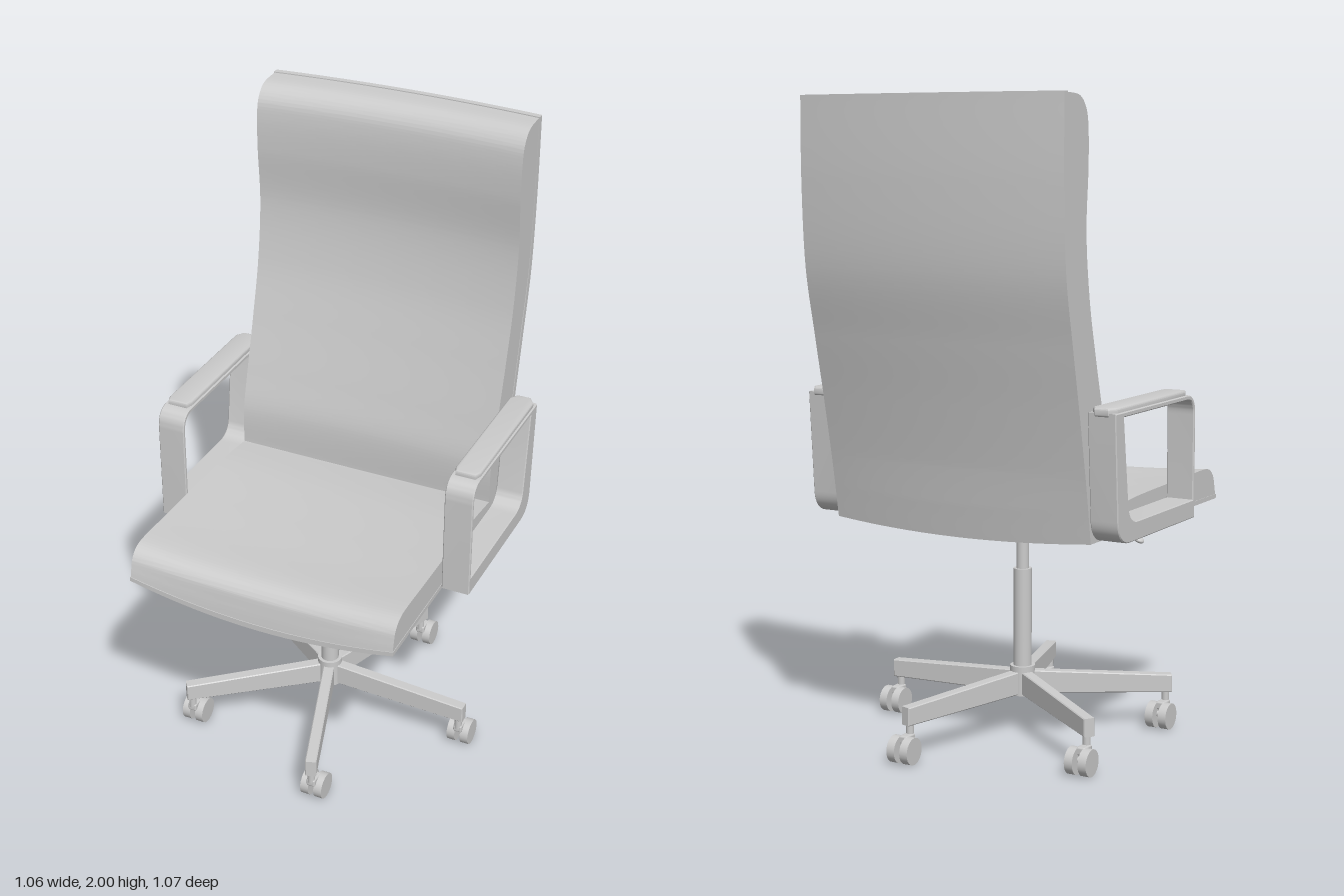
import * as THREE from 'three';
import { toCreasedNormals } from 'three/addons/utils/BufferGeometryUtils.js';
import { RoundedBoxGeometry } from 'three/addons/geometries/RoundedBoxGeometry.js';

const grey = new THREE.MeshStandardMaterial({ color: 0xcccccc, side: THREE.DoubleSide });
const HALF = 0.44;
const COLUMN_Z = 0.033;
const { clamp, smoothstep, lerp } = THREE.MathUtils;

function add(parent, name, geometry, x = 0, y = 0, z = 0) {
  const mesh = new THREE.Mesh(geometry, grey);
  mesh.name = name;
  mesh.position.set(x, y, z);
  parent.add(mesh);
  return mesh;
}

const cylinder = (rTop, rBottom, h, n = 24) => new THREE.CylinderGeometry(rTop, rBottom, h, n);

// Side profile made of smooth runs of [z, y] points, with a corner between runs
function sideShape(runs) {
  const shape = new THREE.Shape();
  const pt = ([z, y]) => new THREE.Vector2(-z, y);
  shape.moveTo(-runs[0][0][0], runs[0][0][1]);
  runs.forEach((run, i) => {
    if (i) shape.lineTo(-run[0][0], run[0][1]);
    if (run.length > 1) shape.splineThru(run.slice(1).map(pt));
  });
  return shape;
}

// Extrude a side profile across the chair and bow it: back bulges rearward, seat sags
function bowedSlab(runs, half) {
  let g = new THREE.ExtrudeGeometry(sideShape(runs), {
    depth: 2 * half, steps: 20, bevelEnabled: false, curveSegments: 24,
  });
  g.translate(0, 0, -half).rotateY(Math.PI / 2);
  const p = g.attributes.position;
  for (let i = 0; i < p.count; i++) {
    const x = p.getX(i), y = p.getY(i), z = p.getZ(i);
    const t = 1 - (x / HALF) ** 2;
    const under = lerp(0.018, 0.05, smoothstep(z, 0.15, 0.535));
    const sag = lerp(under, 0.017, clamp((y - 0.72) / 0.06, 0, 1)) * clamp((0.92 - y) / 0.1, 0, 1);
    p.setY(i, y - sag * t);
    p.setZ(i, z - 0.022 * t * clamp(-z / 0.2, 0, 1));
  }
  return toCreasedNormals(g, 0.6);
}

// Armrest: flat closed loop with a thin front strap and a padded top
function armrest() {
  const arm = new THREE.Group();
  const loop = new THREE.Shape();
  loop.moveTo(-0.17, 0.72);
  loop.lineTo(-0.17, 1.04);
  loop.quadraticCurveTo(-0.17, 1.105, -0.11, 1.105);
  loop.lineTo(0.37, 1.105);
  loop.lineTo(0.35, 0.79);
  loop.quadraticCurveTo(0.345, 0.72, 0.27, 0.72);
  loop.closePath();
  const hole = new THREE.Path();
  hole.moveTo(-0.158, 0.777);
  hole.lineTo(0.22, 0.777);
  hole.quadraticCurveTo(0.275, 0.777, 0.283, 0.83);
  hole.lineTo(0.316, 1.09);
  hole.lineTo(-0.11, 1.09);
  hole.quadraticCurveTo(-0.158, 1.09, -0.158, 1.04);
  loop.holes.push(hole);
  const g = new THREE.ExtrudeGeometry(loop, {
    depth: 0.084, bevelThickness: 0.003, bevelSize: 0.003, bevelOffset: -0.003, bevelSegments: 1,
  });
  g.rotateY(Math.PI / 2).translate(0.443, 0, 0);
  add(arm, 'armLoop', toCreasedNormals(g, 0.6));

  // Pad outline with clipped corners
  const pad = new THREE.Shape([
    [0.455, -0.12], [0.515, -0.12], [0.522, -0.1], [0.522, 0.345], [0.505, 0.37],
    [0.465, 0.37], [0.448, 0.345], [0.448, -0.1],
  ].map(([x, y]) => new THREE.Vector2(x, y)));
  const pg = new THREE.ExtrudeGeometry(pad, {
    depth: 0.014, bevelThickness: 0.006, bevelSize: 0.006, bevelOffset: -0.003, bevelSegments: 3,
  });
  pg.rotateX(-Math.PI / 2).translate(0, 1.1, 0);
  add(arm, 'armPad', toCreasedNormals(pg, 0.6));
  return arm;
}

// Twin-wheel caster; origin on the floor beneath its stem, wheels trailing
function caster() {
  const c = new THREE.Group();
  c.name = 'caster';
  for (const s of [-1, 1]) {
    const wheel = add(c, 'wheel', cylinder(0.042, 0.042, 0.027), s * 0.023, 0.042, -0.034);
    wheel.rotation.z = Math.PI / 2;
  }
  const axle = add(c, 'axle', cylinder(0.01, 0.01, 0.03, 12), 0, 0.045, -0.034);
  axle.rotation.z = Math.PI / 2;
  add(c, 'casterBridge', new RoundedBoxGeometry(0.03, 0.026, 0.05, 2, 0.006), 0, 0.073, -0.016);
  add(c, 'stem', cylinder(0.012, 0.012, 0.05, 14), 0, 0.1, 0);
  return c;
}

// Tapering base leg running along +x
function legGeometry() {
  const s = new THREE.Shape();
  s.moveTo(0, 0.125);
  s.lineTo(0.482, 0.113);
  s.lineTo(0.482, 0.17);
  s.lineTo(0, 0.2);
  s.closePath();
  const g = new THREE.ExtrudeGeometry(s, {
    depth: 0.03, bevelThickness: 0.003, bevelSize: 0.003, bevelOffset: -0.003, bevelSegments: 1,
  });
  return g.translate(0, 0, -0.015);
}

export function createModel() {
  const chair = new THREE.Group();
  chair.name = 'officeChair';

  // Seat cushion with a rounded front lip
  add(chair, 'seatCushion', bowedSlab([
    [[-0.33, 0.72], [-0.33, 0.79]],
    [[-0.22, 0.796], [-0.07, 0.811], [0.15, 0.817], [0.3, 0.819], [0.43, 0.822], [0.485, 0.815],
      [0.515, 0.79], [0.527, 0.755], [0.534, 0.722]],
  ], 0.438));

  // Back cushion: lumbar curve, head bolster, rounded top
  add(chair, 'backCushion', bowedSlab([
    [[-0.33, 0.735], [-0.225, 0.735]],
    [[-0.225, 0.8], [-0.228, 0.92], [-0.26, 1.05], [-0.312, 1.24], [-0.355, 1.42], [-0.377, 1.61],
      [-0.367, 1.79], [-0.368, 1.9], [-0.381, 1.955], [-0.42, 1.99], [-0.495, 1.997]],
    [[-0.497, 1.75], [-0.483, 1.5], [-0.44, 1.29], [-0.4, 1.1], [-0.355, 0.9]],
  ], 0.438));

  // Thin outer shell wrapping behind the back and under the seat
  add(chair, 'shell', bowedSlab([
    [[0.535, 0.714], [0.535, 0.728]],
    [[-0.325, 0.734]],
    [[-0.355, 0.9], [-0.395, 1.1], [-0.435, 1.29], [-0.478, 1.5], [-0.492, 1.75], [-0.492, 2]],
    [[-0.512, 2], [-0.513, 1.75], [-0.499, 1.5], [-0.457, 1.29], [-0.416, 1.1], [-0.376, 0.9], [-0.345, 0.718]],
  ], HALF));

  // Mirrored armrests
  for (const s of [1, -1]) {
    const arm = armrest();
    arm.name = s > 0 ? 'leftArmrest' : 'rightArmrest';
    if (s < 0) arm.scale.x = -1;
    chair.add(arm);
  }

  // Tilt mechanism, tension knob and height lever
  add(chair, 'mountPlate', new RoundedBoxGeometry(0.2, 0.022, 0.24, 2, 0.006), 0, 0.69, 0.065);
  add(chair, 'mechanismHousing', new RoundedBoxGeometry(0.1, 0.03, 0.12, 2, 0.008), 0, 0.673, 0.02);
  add(chair, 'tensionKnob', cylinder(0.03, 0.027, 0.055), 0, 0.644, 0.14);
  const leverPath = new THREE.CatmullRomCurve3([
    [0, 0.68, 0], [-0.2, 0.68, 0], [-0.36, 0.685, 0], [-0.4, 0.68, 0], [-0.425, 0.67, 0],
  ].map(p => new THREE.Vector3(...p)));
  add(chair, 'lever', new THREE.TubeGeometry(leverPath, 24, 0.005, 8));
  const grip = add(chair, 'leverGrip', new THREE.SphereGeometry(0.02, 14, 10), -0.424, 0.67, 0);
  grip.scale.set(0.9, 0.45, 0.8);
  grip.rotation.z = 0.4;

  // Gas column
  const base = new THREE.Group();
  base.name = 'base';
  base.position.z = COLUMN_Z;
  chair.add(base);
  add(base, 'upperColumn', cylinder(0.02, 0.02, 0.18), 0, 0.59, 0);
  add(base, 'columnCollar', cylinder(0.03, 0.026, 0.04), 0, 0.655, 0);
  add(base, 'lowerColumn', cylinder(0.029, 0.029, 0.4), 0, 0.33, 0);
  add(base, 'hub', cylinder(0.04, 0.04, 0.095), 0, 0.168, 0);

  // Five-star base with casters
  const leg = legGeometry();
  for (let i = 0; i < 5; i++) {
    const a = (i * 2 * Math.PI) / 5;
    add(base, 'baseLeg', leg).rotation.y = a;
    const c = caster();
    c.position.set(0.463 * Math.cos(a), 0, -0.463 * Math.sin(a));
    base.add(c);
  }
  return chair;
}
